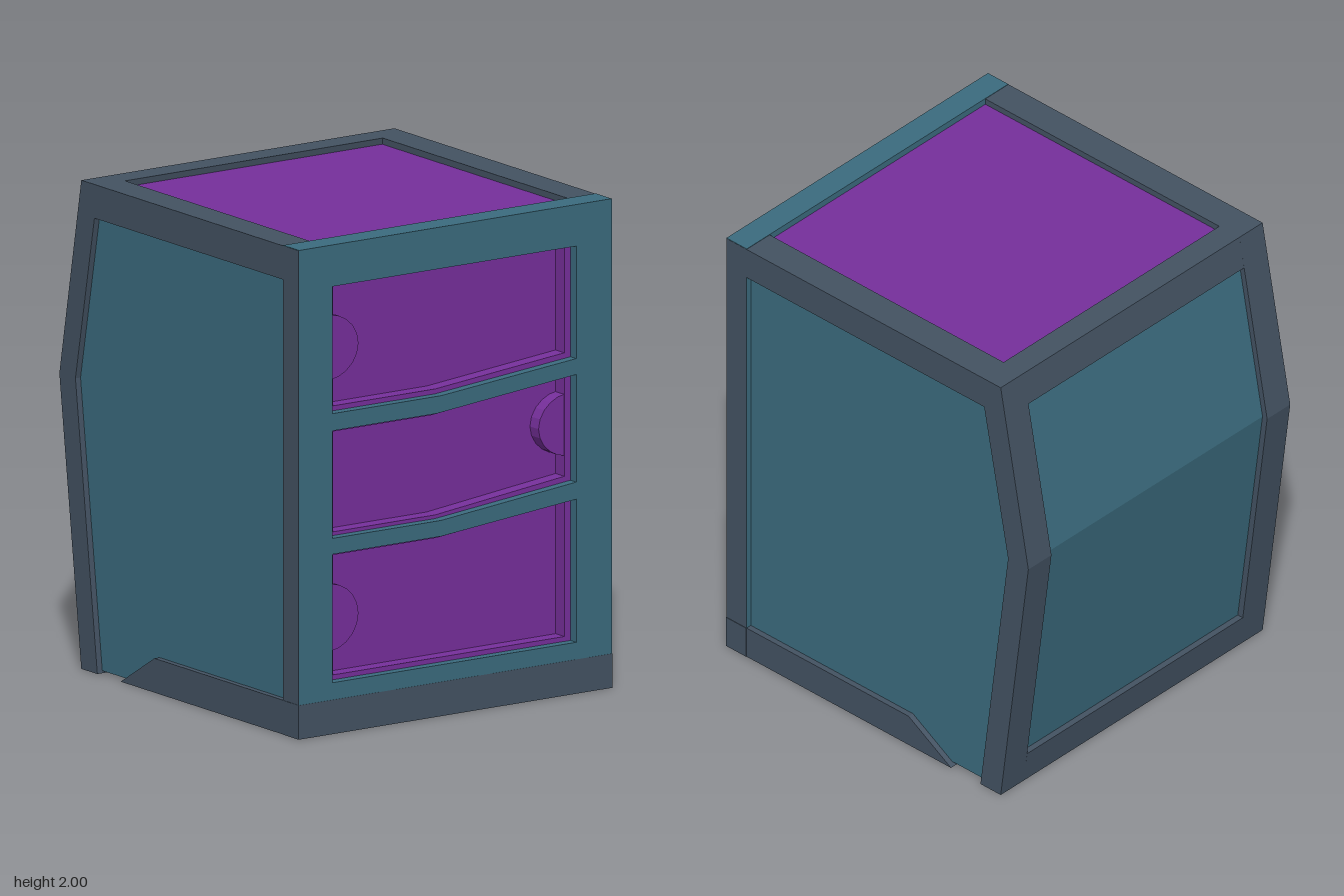
import * as THREE from 'three';

const paint = (color) => new THREE.MeshStandardMaterial({ color });
const teal = paint(0x3b6b7e), slate = paint(0x435262), purple = paint(0x762f9b);

const toShape = (pts) => new THREE.Shape(pts.map(([x, y]) => new THREE.Vector2(x, y)));
const toPath = (pts) => new THREE.Path(pts.map(([x, y]) => new THREE.Vector2(x, y)));

function add(parent, name, geometry, material) {
  const mesh = new THREE.Mesh(geometry, material);
  mesh.name = name;
  parent.add(mesh);
  return mesh;
}

// Box given by its limits on each axis
function block(x0, x1, y0, y1, z0, z1) {
  return new THREE.BoxGeometry(x1 - x0, y1 - y0, z1 - z0)
    .translate((x0 + x1) / 2, (y0 + y1) / 2, (z0 + z1) / 2);
}

// Front outline [x, y] extruded from z0 to z1, with optional holes
function slab(pts, z0, z1, holes = []) {
  const shape = toShape(pts);
  shape.holes = holes.map(toPath);
  return new THREE.ExtrudeGeometry(shape, { depth: z1 - z0, bevelEnabled: false }).translate(0, 0, z0);
}

// Side outline [z, y] extruded from x0 to x1
function across(pts, x0, x1) {
  return new THREE.ExtrudeGeometry(toShape(pts), { depth: x1 - x0, bevelEnabled: false })
    .rotateY(-Math.PI / 2).translate(x1, 0, 0);
}

// Each drawer: opening, inner recess, and finger tab (side, centre height, half height)
const drawers = [
  {
    outer: [[-0.6, 1.83], [-0.6, 1.31], [-0.07, 1.31], [0.59, 1.37], [0.59, 1.83]],
    inner: [[-0.57, 1.82], [-0.57, 1.33], [-0.07, 1.33], [0.56, 1.39], [0.56, 1.82]],
    tab: [-1, 1.57, 0.13],
  },
  {
    outer: [[-0.6, 1.24], [-0.6, 0.8], [-0.07, 0.8], [0.59, 0.865], [0.59, 1.305], [-0.09, 1.24]],
    inner: [[-0.57, 1.225], [-0.57, 0.815], [-0.07, 0.815], [0.56, 0.885], [0.56, 1.29], [-0.09, 1.225]],
    tab: [1, 1.095, 0.125],
  },
  {
    outer: [[-0.6, 0.735], [-0.6, 0.21], [0.59, 0.21], [0.59, 0.795], [-0.07, 0.735]],
    inner: [[-0.57, 0.72], [-0.57, 0.23], [0.56, 0.23], [0.56, 0.78], [-0.07, 0.72]],
    tab: [-1, 0.465, 0.135],
  },
];

export function createModel() {
  const cabinet = new THREE.Group();
  cabinet.name = 'cabinet';

  // Side frames with a notch at the bottom, and their inset panels
  const frame = [
    [0.818, 0], [-0.4, 0], [-0.17, 0.14], [0.71, 0.14], [0.71, 1.86], [-0.58, 1.86],
    [-0.71, 1.18], [-0.56, 0], [-0.67, 0], [-0.82, 1.18], [-0.67, 1.998], [0.818, 1.998],
  ];
  const sidePanel = [[0.73, 0.01], [-0.6, 0.01], [-0.74, 1.18], [-0.61, 1.88], [0.73, 1.88]];
  for (const [name, s] of [['left', 1], ['right', -1]]) {
    const span = (a, b) => (s > 0 ? [a, b] : [-b, -a]);
    add(cabinet, name + 'SideFrame', across(frame, ...span(0.63, 0.765)), slate);
    add(cabinet, name + 'SidePanel', across(sidePanel, ...span(0.71, 0.74)), teal);
  }

  // Front plate pierced by the drawer openings, with the base rail below
  const plate = [[-0.764, 0.14], [0.764, 0.14], [0.764, 2], [-0.764, 2]];
  add(cabinet, 'frontPlate', slab(plate, 0.71, 0.82, drawers.map((d) => d.outer)), teal);
  add(cabinet, 'baseRail', block(-0.767, 0.767, 0, 0.14, 0.71, 0.821), slate);

  // Drawers: raised lip, recessed face, rounded finger tab at one end
  drawers.forEach(({ outer, inner, tab: [side, cy, h] }, i) => {
    const drawer = new THREE.Group();
    drawer.name = 'drawer' + (i + 1);
    add(drawer, 'drawerLip', slab(outer, 0.7, 0.78, [inner]), purple);
    add(drawer, 'drawerFace', slab(outer, 0.68, 0.72), purple);
    const edge = side > 0 ? 0.56 : -0.57;
    const arc = [];
    for (let k = 0; k <= 10; k++) {
      const a = -Math.PI / 2 + (Math.PI * k) / 10;
      arc.push([edge - side * 0.125 * Math.cos(a) ** 1.2, cy + h * Math.sin(a)]);
    }
    add(drawer, 'fingerTab', slab(arc, 0.71, 0.779), purple);
    cabinet.add(drawer);
  });

  // Top: rear rail and inset panel
  add(cabinet, 'topRearRail',
    across([[-0.56, 1.998], [-0.67, 1.998], [-0.695, 1.86], [-0.58, 1.86]], -0.63, 0.63), slate);
  add(cabinet, 'topPanel', block(-0.64, 0.64, 1.94, 1.972, -0.6, 0.72), purple);

  // Back: lower rail and creased inset panel
  add(cabinet, 'bottomRearRail',
    across([[-0.56, 0], [-0.578, 0.14], [-0.688, 0.14], [-0.67, 0]], -0.63, 0.63), slate);
  add(cabinet, 'backPanel', across([
    [-0.65, 0.06], [-0.62, 0.06], [-0.76, 1.18], [-0.63, 1.92], [-0.66, 1.92], [-0.795, 1.18],
  ], -0.64, 0.64), teal);

  // Bottom panel, raised inside the rails
  add(cabinet, 'bottomPanel', block(-0.7, 0.7, 0.11, 0.135, -0.6, 0.72), teal);

  return cabinet;
}
